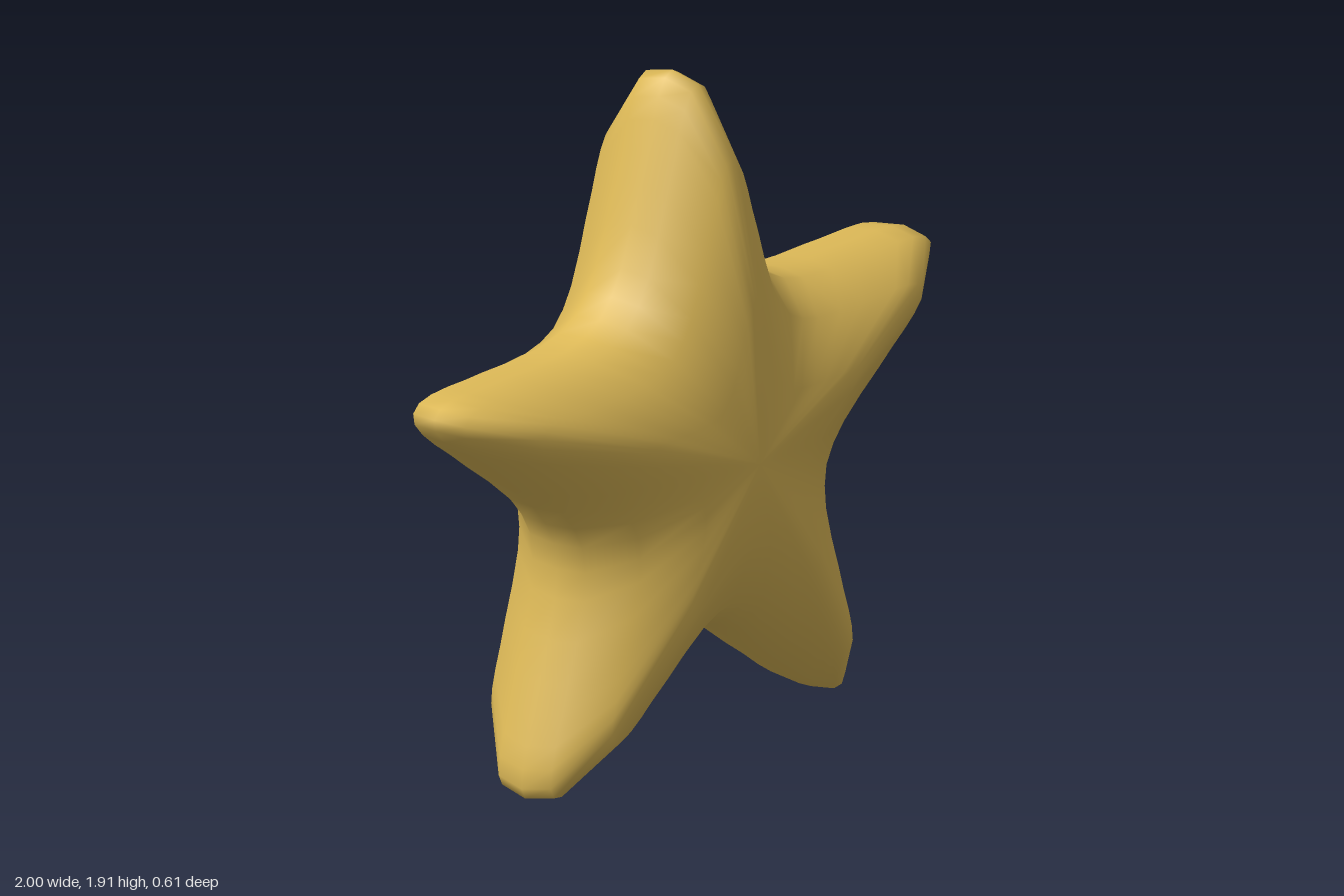
import * as THREE from 'three';

// Half outline of one arm: [half width, distance from the centre], valley to tip
const HALF_ARM = [
  [0.306, 0.421], [0.255, 0.475], [0.213, 0.545], [0.17, 0.655], [0.135, 0.765],
  [0.105, 0.85], [0.08, 0.93], [0.057, 0.99], [0.03, 1.036], [0, 1.052],
];
// Inflated cross-section: [outline scale, z], front to back between the two centre points
const FRONT = [[0.43, 0.292], [0.8, 0.21], [0.98, 0.09]];
const RINGS = [...FRONT, [1, 0], ...FRONT.map(([s, z]) => [s, -z]).reverse()];
const DEPTH = 0.306;
const CENTRE_Y = 0.853;

// Five mirrored arms joined into one counter-clockwise loop
function starOutline() {
  const mirrored = HALF_ARM.slice(1, -1).reverse().map(([w, d]) => [-w, d]);
  const arm = [...HALF_ARM, ...mirrored];
  const loop = [];
  for (let k = 0; k < 5; k++) {
    for (const [w, d] of arm) {
      loop.push(new THREE.Vector2(w, d).rotateAround(new THREE.Vector2(), (k * Math.PI * 2) / 5));
    }
  }
  return loop;
}

function starGeometry() {
  const outline = starOutline();
  const n = outline.length;
  const positions = [];
  const indices = [];
  for (const [scale, z] of RINGS) {
    for (const p of outline) positions.push(p.x * scale, p.y * scale, z);
  }
  const front = RINGS.length * n;
  const back = front + 1;
  positions.push(0, 0, DEPTH, 0, 0, -DEPTH);

  const last = (RINGS.length - 1) * n;
  for (let i = 0; i < n; i++) {
    const j = (i + 1) % n;
    indices.push(front, i, j, back, last + j, last + i);
    for (let r = 0; r < RINGS.length - 1; r++) {
      const a = r * n;
      const b = a + n;
      indices.push(a + i, b + i, b + j, a + i, b + j, a + j);
    }
  }
  const geometry = new THREE.BufferGeometry();
  geometry.setAttribute('position', new THREE.Float32BufferAttribute(positions, 3));
  geometry.setIndex(indices);
  geometry.computeVertexNormals();
  return geometry;
}

export function createModel() {
  const group = new THREE.Group();
  group.name = 'star';
  const gold = new THREE.MeshStandardMaterial({ color: 0xddb957 });
  gold.name = 'gold';
  const body = new THREE.Mesh(starGeometry(), gold);
  body.name = 'starBody';
  body.position.y = CENTRE_Y;
  group.add(body);
  return group;
}
